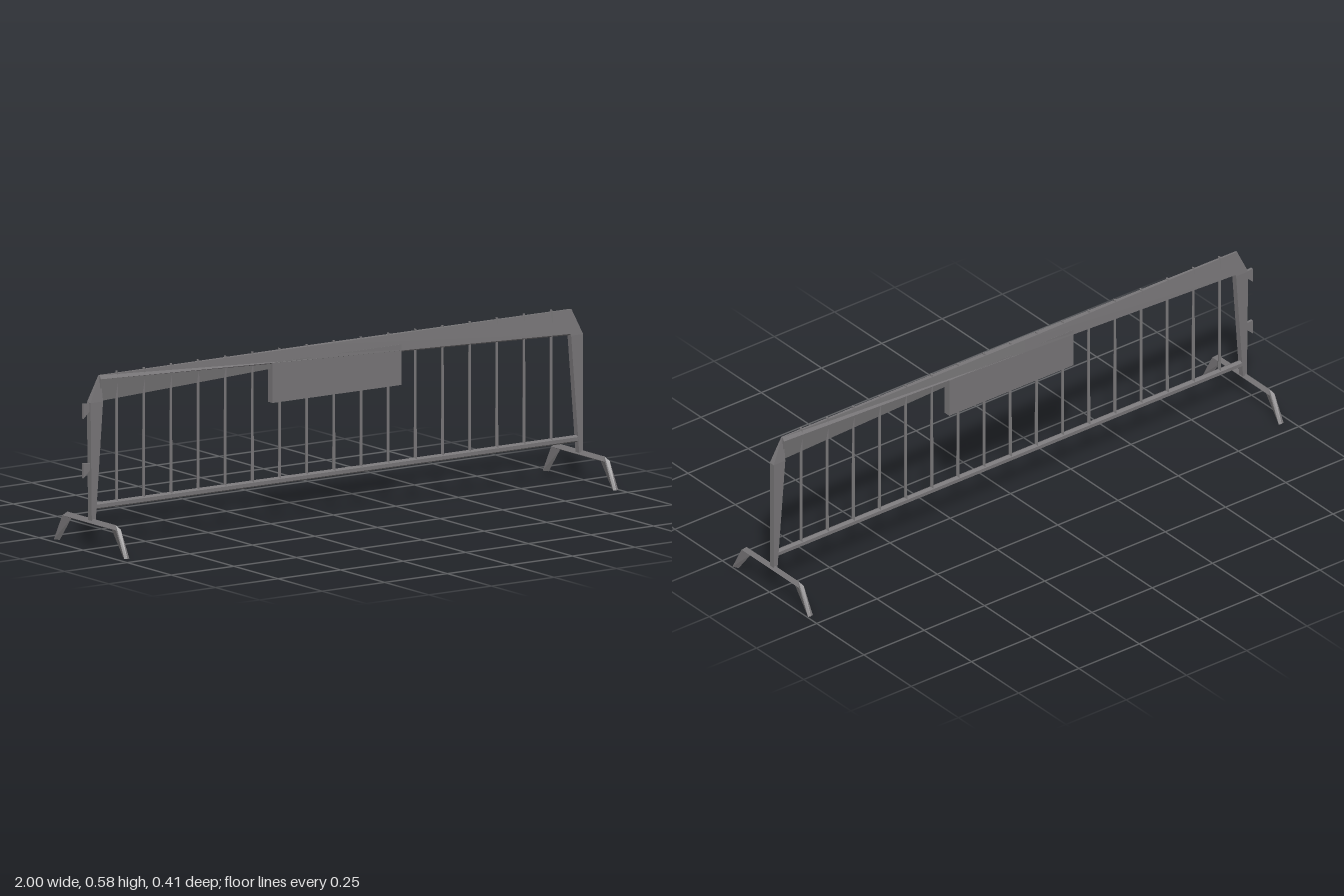
import * as THREE from 'three';

const steel = new THREE.MeshStandardMaterial({ color: 0x787678 });
steel.name = 'greySteel';
steel.flatShading = true;

// Skin a list of equal-length cross-sections (arrays of [x, y, z]) and cap both ends.
function loft(sections) {
  const pos = [];
  const n = sections[0].length;
  const tri = (a, b, c) => pos.push(...a, ...b, ...c);
  for (let s = 0; s < sections.length - 1; s++) {
    const p = sections[s], q = sections[s + 1];
    for (let i = 0; i < n; i++) {
      const j = (i + 1) % n;
      tri(p[i], p[j], q[j]);
      tri(p[i], q[j], q[i]);
    }
  }
  const first = sections[0], last = sections[sections.length - 1];
  for (let i = 1; i < n - 1; i++) {
    tri(first[0], first[i + 1], first[i]);
    tri(last[0], last[i], last[i + 1]);
  }
  const g = new THREE.BufferGeometry();
  g.setAttribute('position', new THREE.Float32BufferAttribute(pos, 3));
  g.computeVertexNormals();
  return g;
}

export function createModel() {
  const barrier = new THREE.Group();
  barrier.name = 'crowdBarrier';
  const zMid = -0.002; // the fence panel sits a touch behind the feet's centre
  const add = (name, geometry, x = 0, y = 0, z = zMid) => {
    const mesh = new THREE.Mesh(geometry, steel);
    mesh.name = name;
    mesh.position.set(x, y, z);
    barrier.add(mesh);
  };

  // Top rail: narrow ridge, front shoulder, lower edge, back shoulder, twisting along its length
  const railSection = (x, front, back, bottom, ridge, half) => [
    [x, 0.575, -ridge], [x, 0.575, ridge], [x, front, half], [x, bottom, 0], [x, back, -half],
  ];
  add('topRail', loft([
    railSection(-0.935, 0.563, 0.494, 0.488, 0.003, 0.011),
    railSection(-0.05, 0.53, 0.53, 0.524, 0.01, 0.0135),
    railSection(0.95, 0.494, 0.563, 0.488, 0.003, 0.011),
  ]));

  // End posts, widening upward and pinched into a chamfered corner
  const postSection = (x0, x1, y, z) => [[x0, y, z], [x1, y, z], [x1, y, -z], [x0, y, -z]];
  add('rightPost', loft([
    postSection(-0.971, -0.955, 0.094, 0.0105),
    postSection(-0.976, -0.926, 0.488, 0.0105),
    postSection(-0.936, -0.93, 0.575, 0.002),
  ]));
  add('leftPost', loft([
    postSection(0.976, 0.992, 0.094, 0.0105),
    postSection(0.944, 0.992, 0.488, 0.0105),
    postSection(0.945, 0.951, 0.575, 0.002),
  ]));

  // Bottom rail, with an edge at top and bottom
  const lower = new THREE.CylinderGeometry(0.012, 0.012, 1.95, 6)
    .rotateY(Math.PI / 6).rotateZ(Math.PI / 2);
  add('bottomRail', lower, 0.009, 0.141);

  // Upright bars, slimmer toward the top and poking just above the rail
  const bar = new THREE.CylinderGeometry(0.007, 0.009, 0.44, 4).scale(0.55, 1, 1);
  for (let i = 0; i < 17; i++) add('uprightBar', bar, -0.865 + i * 0.1085, 0.361);

  // Sign plate, tucked up into the rail
  add('signPlate', new THREE.BoxGeometry(0.515, 0.135, 0.025), 0.0075, 0.4715);

  // Bent feet: each section holds the top, outer, bottom and inner edge
  const footSection = (top, middle, bottom, side) => [
    [0, top[1], top[0] * side],
    [0.01, middle[1], middle[0] * side],
    [0, bottom[1], bottom[0] * side],
    [-0.01, middle[1], middle[0] * side],
  ];
  const toe = (side) => footSection([0.203, 0], [0.2, 0], [0.18, 0], side);
  const knee = (side) => footSection([0.137, 0.102], [0.152, 0.088], [0.115, 0.083], side);
  const foot = loft([toe(1), knee(1), knee(-1), toe(-1)]);
  add('rightFoot', foot, -0.966, 0, 0);
  add('leftFoot', foot, 0.987, 0, 0);

  // Coupling hooks on the right post
  const hookShape = new THREE.Shape([[-1, 0.025], [-1, -0.025], [-0.973, 0], [-0.968, 0.022]]
    .map(([x, y]) => new THREE.Vector2(x, y)));
  const hook = new THREE.ExtrudeGeometry(hookShape, { depth: 0.009, bevelEnabled: false })
    .translate(0, 0, -0.0045);
  for (const y of [0.462, 0.264]) add('couplingHook', hook, 0, y);

  return barrier;
}
